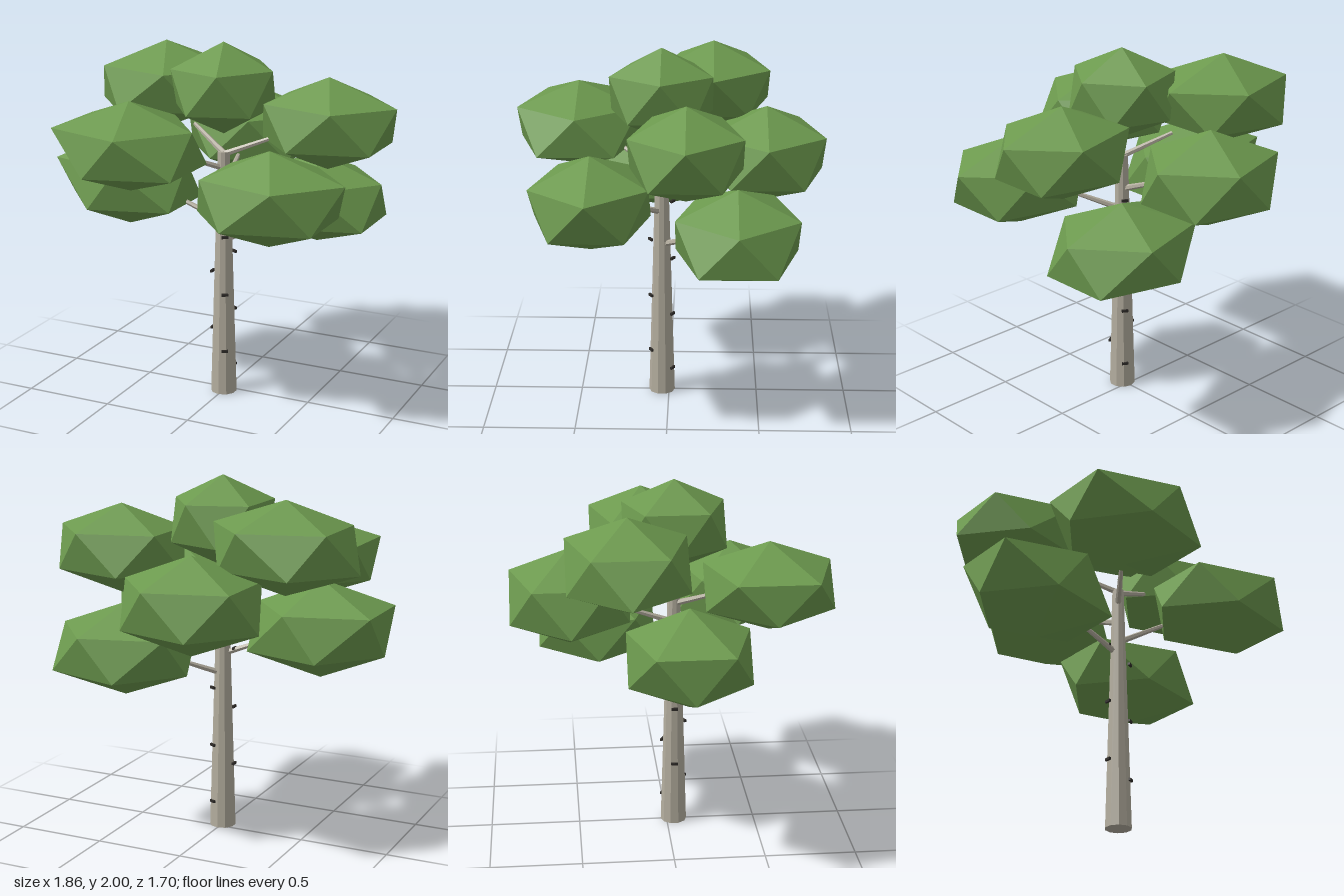
import * as THREE from 'three';
import { ConvexGeometry } from 'three/addons/geometries/ConvexGeometry.js';

const TRUNK_Z = 0.04;

function material(name, color) {
  const m = new THREE.MeshStandardMaterial({ color });
  m.name = name;
  return m;
}

// Squashed icosahedron standing on a point; lean shifts the two rings apart along x.
function leafGeometry(rx, ry, rz, lean) {
  const h = 1 / Math.sqrt(5), r = 2 * h;
  const points = [new THREE.Vector3(0, ry, 0), new THREE.Vector3(0, -ry, 0)];
  for (const side of [1, -1]) {
    for (let i = 0; i < 5; i++) {
      const a = (i / 5) * Math.PI * 2;
      points.push(new THREE.Vector3(
        side * (Math.cos(a) * r * rx + lean), side * h * ry, Math.sin(a) * r * rz));
    }
  }
  return new ConvexGeometry(points);
}

// Tapered rod between two points
function rod(from, to, r0, r1, sides, mat) {
  const dir = to.clone().sub(from);
  const mesh = new THREE.Mesh(
    new THREE.CylinderGeometry(r1, r0, dir.length(), sides).toNonIndexed(), mat);
  mesh.geometry.computeVertexNormals();
  mesh.position.copy(from).addScaledVector(dir, 0.5);
  mesh.quaternion.setFromUnitVectors(new THREE.Vector3(0, 1, 0), dir.normalize());
  return mesh;
}

export function createModel() {
  const tree = new THREE.Group();
  tree.name = 'tree';
  const bark = material('bark', 0xb3ad9e);
  const darkBark = material('darkBark', 0x2f2c29);
  const leaf = material('leaf', 0x6c994e);
  for (const m of [bark, darkBark, leaf]) m.flatShading = true;

  // Trunk
  const trunk = rod(new THREE.Vector3(0, 0, TRUNK_Z), new THREE.Vector3(0, 1.4, TRUNK_Z),
    0.073, 0.033, 10, bark);
  trunk.name = 'trunk';
  tree.add(trunk);

  // Dark bark marks spiralling up in three columns
  for (let i = 0; i < 10; i++) {
    const a = (-60 + 120 * i) * Math.PI / 180;
    const mark = new THREE.Mesh(new THREE.BoxGeometry(0.012, 0.014, 0.037), darkBark);
    mark.name = 'barkMark';
    mark.position.set(Math.cos(a) * 0.07, 0.15 + 0.1115 * i, TRUNK_Z + Math.sin(a) * 0.07);
    mark.rotation.y = -a;
    tree.add(mark);
  }

  // Leaf clumps: x, y, z, rx, ry, rz, lean
  const clumps = [
    [0, 1.75, 0.04, 0.32, 0.25, 0.325, 0],
    [-0.49, 1.68, -0.24, 0.438, 0.25, 0.37, 0.02],
    [0.55, 1.58, -0.1, 0.42, 0.25, 0.345, 0.005],
    [-0.32, 1.5, 0.51, 0.44, 0.24, 0.398, -0.028],
    [0.43, 1.275, 0.4, 0.445, 0.255, 0.365, 0.015],
    [-0.57, 1.2, 0.07, 0.44, 0.27, 0.378, -0.03],
    [0.39, 1.085, -0.37, 0.44, 0.255, 0.385, -0.02],
    [-0.09, 1.395, -0.53, 0.428, 0.265, 0.375, 0],
  ];
  clumps.forEach(([x, y, z, rx, ry, rz, lean], i) => {
    const clump = new THREE.Mesh(leafGeometry(rx, ry, rz, lean), leaf);
    clump.name = 'leafClump';
    clump.position.set(x, y, z);
    tree.add(clump);
    if (i === 0) return;

    // Branch from the trunk halfway towards the clump
    const start = new THREE.Vector3(0, Math.min(y - 0.195, 1.39), TRUNK_Z);
    const end = new THREE.Vector3(x * 0.5, start.y + 0.11, TRUNK_Z + (z - TRUNK_Z) * 0.5);
    const branch = rod(start, end, 0.018, 0.011, 6, bark);
    branch.name = 'branch';
    tree.add(branch);
  });

  return tree;
}
